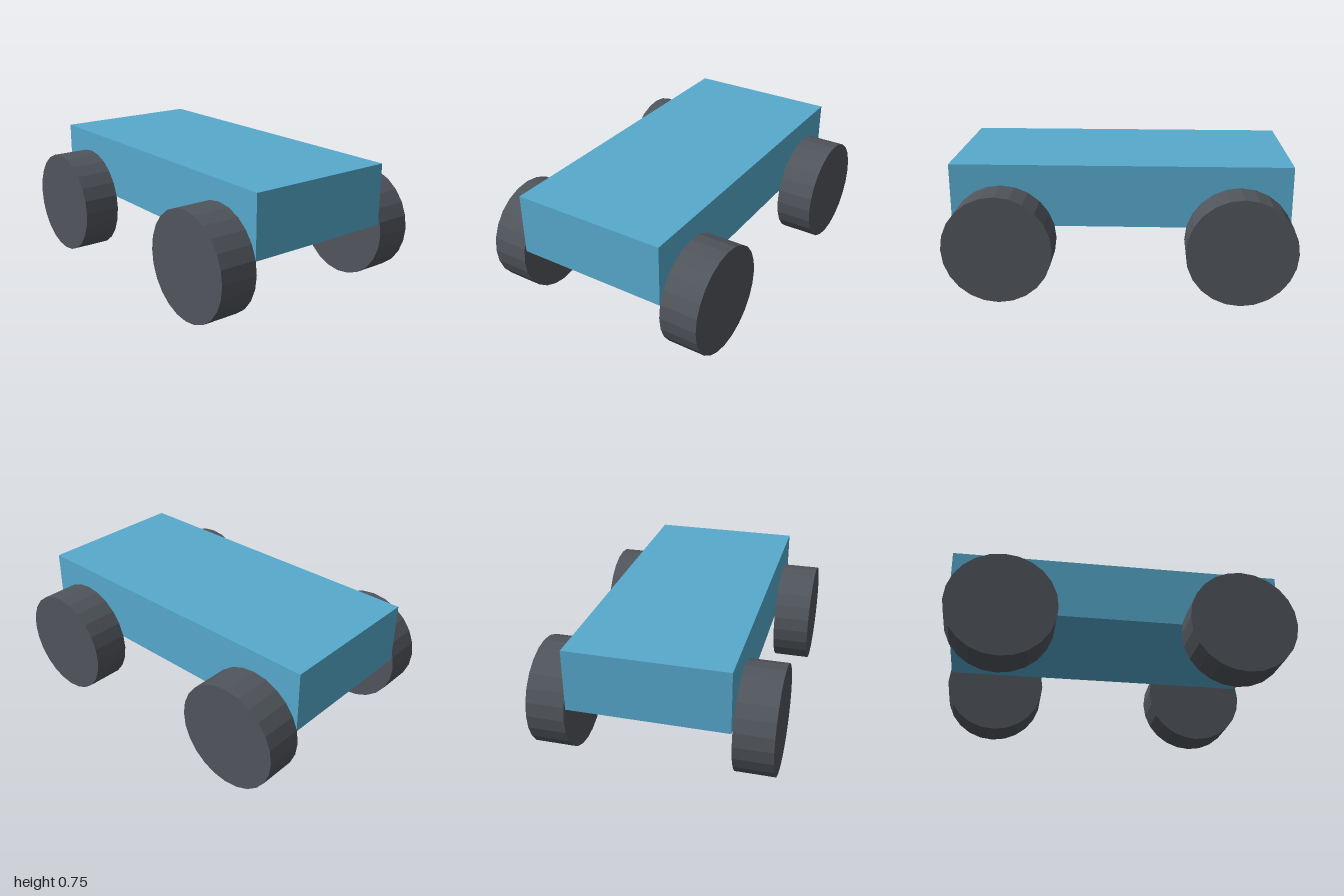
import * as THREE from 'three';

export function createModel() {
  const model = new THREE.Group();
  model.name = 'toyCart';

  const bodyMaterial = new THREE.MeshStandardMaterial({ color: 0x56a9cd });
  const wheelMaterial = new THREE.MeshStandardMaterial({ color: 0x50555c, flatShading: true });

  // Plain block body
  const body = new THREE.Mesh(new THREE.BoxGeometry(1.966, 0.365, 0.918), bodyMaterial);
  body.name = 'body';
  body.position.y = 0.566;
  model.add(body);

  // Four solid wheels, axles along z, just clear of the body sides
  const radius = 0.314;
  const wheelGeometry = new THREE.CylinderGeometry(radius, radius, 0.223, 24);
  wheelGeometry.rotateX(Math.PI / 2);
  for (const [zName, zSide] of [['front', 1], ['back', -1]]) {
    for (const [xName, xSide] of [['Left', 1], ['Right', -1]]) {
      const wheel = new THREE.Mesh(wheelGeometry, wheelMaterial);
      wheel.name = `${zName}${xName}Wheel`;
      wheel.position.set(xSide * (1 - radius), radius, zSide * 0.577);
      model.add(wheel);
    }
  }

  return model;
}
